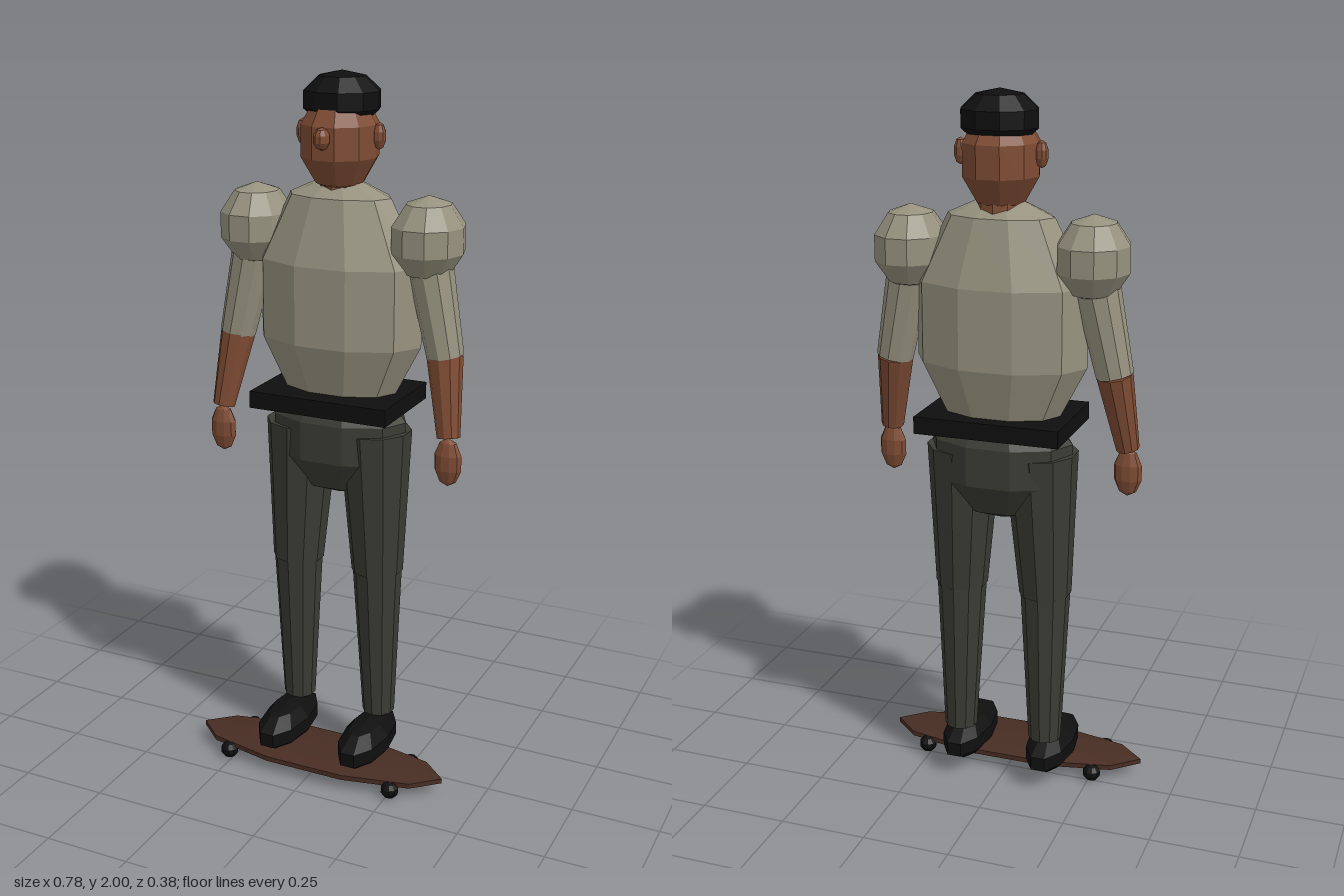
import * as THREE from 'three';

const mat = (name, color) => {
  const m = new THREE.MeshStandardMaterial({ color, flatShading: true });
  m.name = name;
  return m;
};

export function createModel() {
  const group = new THREE.Group();
  group.name = 'standingSkater';
  const skin = mat('skin', 0x7f4c34);
  const shirt = mat('shirt', 0x97927f);
  const trousers = mat('trousers', 0x3b3c34);
  const black = mat('black', 0x0f0f10);
  const wood = mat('wood', 0x482d23);

  const add = (name, geometry, material, pos) => {
    const mesh = new THREE.Mesh(geometry, material);
    mesh.name = name;
    mesh.position.set(...pos);
    group.add(mesh);
    return mesh;
  };

  // Faceted ellipsoid with ten sides and five bands
  const blob = (name, material, pos, radii) =>
    add(name, new THREE.SphereGeometry(1, 10, 5).scale(...radii), material, pos);

  // Tapered limb from a to b
  const limb = (name, material, a, b, ra, rb) => {
    const from = new THREE.Vector3(...a), to = new THREE.Vector3(...b);
    const dir = from.clone().sub(to);
    const mid = from.clone().add(to).multiplyScalar(0.5);
    const mesh = add(name, new THREE.CylinderGeometry(ra, rb, dir.length(), 10), material, mid.toArray());
    mesh.quaternion.setFromUnitVectors(new THREE.Vector3(0, 1, 0), dir.normalize());
    return mesh;
  };

  // Head
  blob('head', skin, [0, 1.82, -0.053], [0.11, 0.14, 0.119]);
  blob('hair', black, [0, 1.925, -0.065], [0.112, 0.075, 0.105]);
  blob('nose', skin, [0, 1.835, 0.06], [0.023, 0.03, 0.028]);
  limb('neck', skin, [0, 1.74, -0.06], [0, 1.64, -0.06], 0.06, 0.066);

  // Body
  blob('torso', shirt, [0, 1.385, -0.055], [0.255, 0.356, 0.146]);
  add('belt', new THREE.BoxGeometry(0.41, 0.048, 0.292), black, [0, 1.111, -0.046]);
  blob('hips', trousers, [0, 1.0, -0.05], [0.215, 0.18, 0.133]);

  for (const [side, s] of [['left', 1], ['right', -1]]) {
    blob(side + 'Ear', skin, [s * 0.112, 1.835, -0.057], [0.019, 0.036, 0.018]);

    // Arm
    blob(side + 'Shoulder', shirt, [s * 0.256, 1.575, -0.058], [0.104, 0.115, 0.118]);
    limb(side + 'Sleeve', shirt, [s * 0.25, 1.57, -0.056], [s * 0.317, 1.26, -0.046], 0.066, 0.051);
    limb(side + 'Forearm', skin, [s * 0.316, 1.262, -0.045], [s * 0.347, 1.047, -0.006], 0.05, 0.032);
    blob(side + 'Hand', skin, [s * 0.348, 0.978, -0.003], [0.041, 0.069, 0.024]);

    // Leg
    limb(side + 'Thigh', trousers, [s * 0.112, 1.025, -0.047], [s * 0.126, 0.605, -0.04], 0.104, 0.074);
    limb(side + 'Shin', trousers, [s * 0.126, 0.61, -0.04], [s * 0.13, 0.15, -0.05], 0.071, 0.047);
    blob(side + 'Shoe', black, [s * 0.13, 0.09, 0.029], [0.07, 0.065, 0.158]);

    // Wheels
    for (const [end, z] of [['Front', 0.163], ['Back', 0.003]])
      blob(side + end + 'Wheel', black, [s * 0.26, 0.025, z], [0.027, 0.025, 0.025]);
  }

  // Board
  blob('skateboard', wood, [0, 0.042, 0.083], [0.408, 0.023, 0.119]);

  return group;
}
